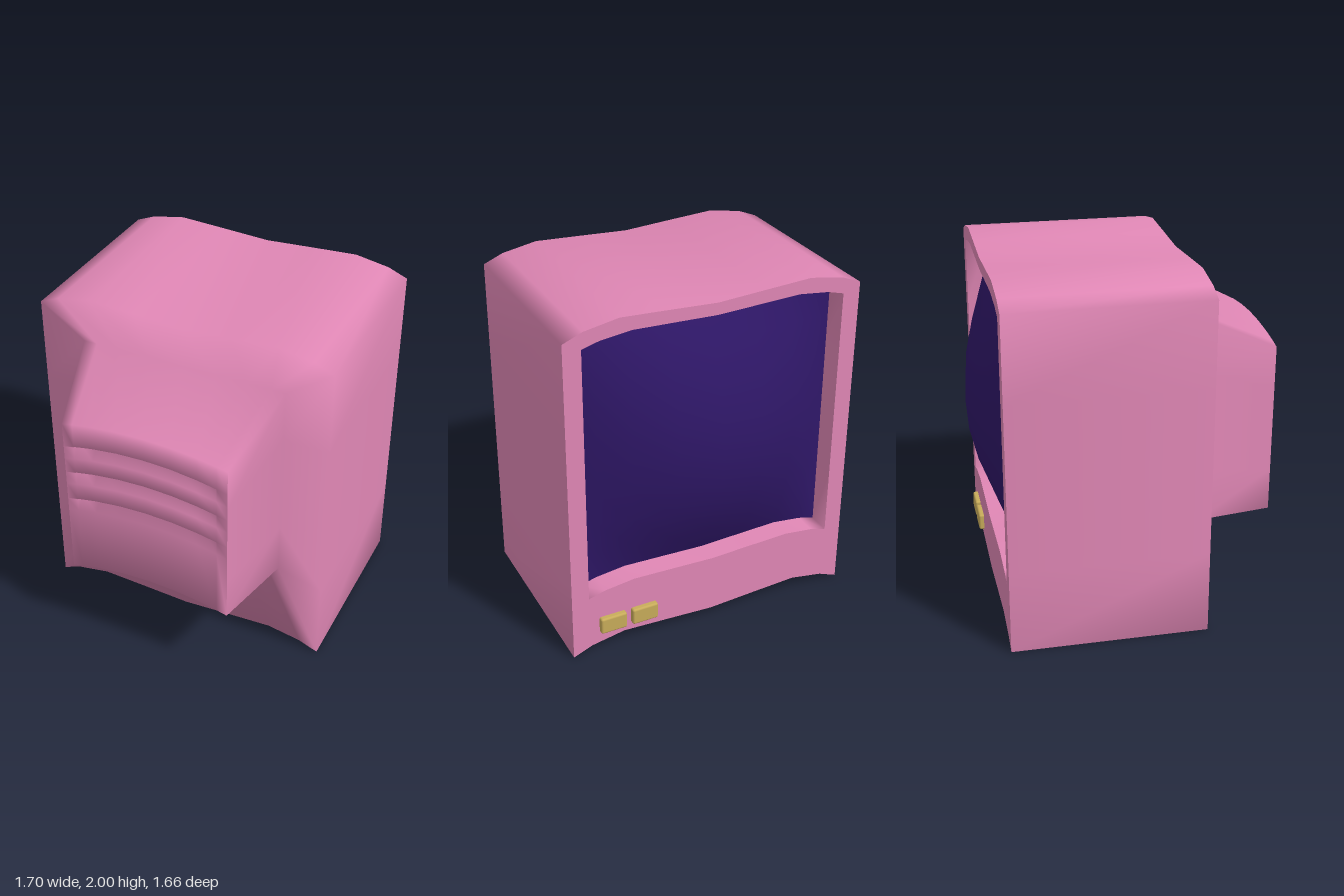
import * as THREE from 'three';
import { mergeVertices, mergeGeometries } from 'three/addons/utils/BufferGeometryUtils.js';
import { RoundedBoxGeometry } from 'three/addons/geometries/RoundedBoxGeometry.js';

// Stations across the width, -1 to 1
const US = [-1, -0.87, -0.64, -0.33, 0, 0.33, 0.64, 0.87, 1];
const SIDE_STEPS = 4;

// Wavy top and bottom edge of the case: dips in the middle, drops at the corners
function wave(u) {
  const keys = [[0, -0.03], [0.33, -0.014], [0.64, 0], [0.87, -0.035], [1, -0.08]];
  const a = Math.abs(u);
  for (let i = 1; i < keys.length; i++) {
    const [u0, y0] = keys[i - 1], [u1, y1] = keys[i];
    if (a <= u1) return y0 + (y1 - y0) * (a - u0) / (u1 - u0);
  }
  return -0.08;
}

// Closed cross-section at depth z: over the top, down one side, back underneath, up the other
function ring(halfWidth, top, bottom, z) {
  const pts = US.map(u => [u * halfWidth, top(u), z]);
  for (let i = 1; i < SIDE_STEPS; i++)
    pts.push([halfWidth, THREE.MathUtils.lerp(top(1), bottom(1), i / SIDE_STEPS), z]);
  for (const u of [...US].reverse()) pts.push([u * halfWidth, bottom(u), z]);
  for (let i = 1; i < SIDE_STEPS; i++)
    pts.push([-halfWidth, THREE.MathUtils.lerp(bottom(-1), top(-1), i / SIDE_STEPS), z]);
  return pts;
}

// Skin over a series of rows with equal point counts
function loft(rows, closed = true) {
  const n = rows[0].length, index = [];
  for (let r = 0; r < rows.length - 1; r++) {
    for (let i = 0; i < (closed ? n : n - 1); i++) {
      const j = (i + 1) % n;
      const a = r * n + i, b = a + n, c = (r + 1) * n + j, d = r * n + j;
      index.push(a, b, c, a, c, d);
    }
  }
  const g = new THREE.BufferGeometry();
  g.setAttribute('position', new THREE.Float32BufferAttribute(rows.flat(2), 3));
  g.setIndex(index);
  return g;
}

function smooth(parts) {
  const g = mergeVertices(mergeGeometries(parts), 1e-4);
  g.computeVertexNormals();
  return g;
}

export function createModel() {
  const group = new THREE.Group();
  const pink = new THREE.MeshStandardMaterial({ color: 0xe087b5 });
  const violet = new THREE.MeshStandardMaterial({ color: 0x2f1768 });
  const gold = new THREE.MeshStandardMaterial({ color: 0xc8ac5a });
  const add = (name, geometry, material) => {
    const mesh = new THREE.Mesh(geometry, material);
    mesh.name = name;
    group.add(mesh);
    return mesh;
  };

  // Edge curves
  const caseTop = u => 2 + wave(u), caseBottom = u => 0.085 + wave(u);
  const openTop = u => 1.92 + 0.6 * wave(u), openBottom = u => 0.42 + 0.6 * wave(u);
  const endTop = u => 1.56 - 0.05 * u * u, endBottom = u => 0.595 - 0.065 * u * u;

  // Case and tapering tube housing
  const shell = loft([
    ring(0.85, caseTop, caseBottom, -0.72),
    ring(0.85, caseTop, caseBottom, 0.38),
    ring(0.59, () => 1.74, u => 0.535 + 0.02 * u * u, 0.38),
    ring(0.48, endTop, endBottom, 0.83),
  ]);

  // Housing end with three arched louvres; the columns at the slot ends are doubled for the side walls
  const columns = [];
  US.forEach(u => {
    if (u === 0.87) columns.push([u, 1], [u, 0]);
    else if (u === -0.87) columns.push([u, 0], [u, 1]);
    else columns.push([u, Math.abs(u) < 0.87 ? 1 : 0]);
  });
  const endRow = (y, depth) => columns.map(([u, k]) => [u * 0.48, y(u), 0.83 - depth * k]);
  const endRows = [endRow(endTop, 0)];
  for (const y of [1.425, 1.255, 1.075]) {
    const arch = drop => u => y - drop - 0.06 * u * u;
    endRows.push(endRow(arch(0), 0), endRow(arch(0.005), 0.06), endRow(arch(0.08), 0));
  }
  endRows.push(endRow(endBottom, 0));
  add('case', smooth([shell, loft(endRows, false)]), pink);

  // Flat frame around the screen and the walls of its recess
  const opening = ring(0.75, openTop, openBottom, -0.72);
  add('screenFrame', smooth([loft([opening, ring(0.85, caseTop, caseBottom, -0.72)])]), pink);
  add('screenRecess', smooth([loft([ring(0.75, openTop, openBottom, -0.585), opening])]), pink);

  // Bulging screen
  const screenRows = [];
  for (let i = 0; i <= 8; i++) {
    const v = i / 4 - 1;
    screenRows.push(US.map(u => [
      u * 0.75,
      THREE.MathUtils.lerp(openBottom(u), openTop(u), i / 8),
      -0.83 + 0.24 * (1 - (1 - u * u) * (1 - v * v)),
    ]));
  }
  add('screen', smooth([loft(screenRows, false)]), violet);

  // Buttons under the screen
  for (const x of [0.425, 0.615]) {
    const button = add('button', new RoundedBoxGeometry(0.155, 0.1, 0.06, 2, 0.012), gold);
    button.position.set(x, 0.178, -0.72);
  }
  return group;
}
